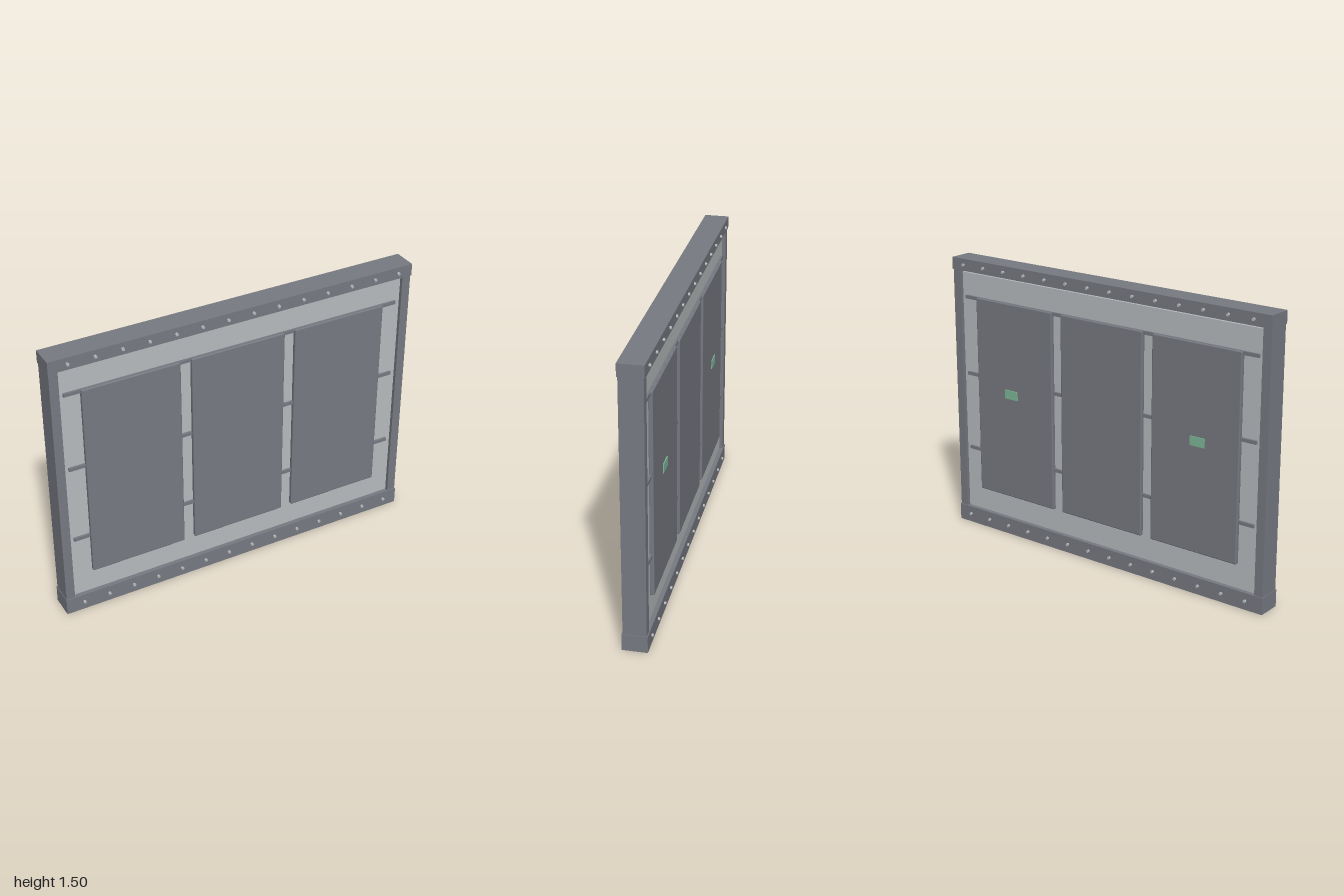
import * as THREE from 'three';
import { RoundedBoxGeometry } from 'three/addons/geometries/RoundedBoxGeometry.js';

const frameMat = new THREE.MeshStandardMaterial({ color: 0x777a82 });
const sheetMat = new THREE.MeshStandardMaterial({ color: 0xb8bcbe });
const tagMat = new THREE.MeshStandardMaterial({ color: 0x7fb898 });

export function createModel() {
  const model = new THREE.Group();

  const add = (name, geometry, material, x, y, z) => {
    const mesh = new THREE.Mesh(geometry, material);
    mesh.name = name;
    mesh.position.set(x, y, z);
    model.add(mesh);
    return mesh;
  };
  // Box given by its lower and upper corners
  const box = (name, material, [x0, y0, z0], [x1, y1, z1]) =>
    add(name, new THREE.BoxGeometry(x1 - x0, y1 - y0, z1 - z0), material,
      (x0 + x1) / 2, (y0 + y1) / 2, (z0 + z1) / 2);

  // Outer frame: two wide rails with slightly slimmer posts between them
  box('topRail', frameMat, [-1, 1.435, -0.064], [1, 1.5, 0.064]);
  box('bottomRail', frameMat, [-1, 0, -0.064], [1, 0.09, 0.064]);
  for (const s of [-1, 1]) {
    add(s > 0 ? 'leftPost' : 'rightPost', new THREE.BoxGeometry(0.047, 1.345, 0.118),
      frameMat, s * 0.9735, 0.7625, 0);
  }

  // Recessed backing sheet, stopping just short of the top rail
  box('backingSheet', sheetMat, [-0.95, 0.09, -0.04], [0.95, 1.423, 0.04]);

  // Crossbars and raised panels on both faces
  const barGeo = new THREE.BoxGeometry(1.85, 0.018, 0.014);
  const panelGeo = new RoundedBoxGeometry(0.52, 1.08, 0.024, 2, 0.006);
  const boltGeo = new THREE.CylinderGeometry(0.008, 0.008, 0.012, 12);
  boltGeo.rotateX(Math.PI / 2);
  for (const s of [-1, 1]) {
    const side = s > 0 ? 'front' : 'back';
    for (const y of [0.442, 0.867, 1.292]) add(side + 'Crossbar', barGeo, frameMat, -0.002, y, s * 0.045);
    for (const x of [-0.58, 0, 0.58]) add(side + 'Panel', panelGeo, frameMat, x, 0.76, s * 0.049);

    // Row of bolts along each rail
    for (let i = 0; i < 14; i++) {
      for (const y of [0.047, 1.467]) add(side + 'Bolt', boltGeo, sheetMat, -0.902 + i * 0.14, y, s * 0.068);
    }
  }

  // Small green plates on the back of the outer panels
  for (const x of [-0.6, 0.6]) {
    add('greenPlate', new THREE.BoxGeometry(0.085, 0.048, 0.008), tagMat, x, 0.805, -0.062);
  }
  return model;
}
